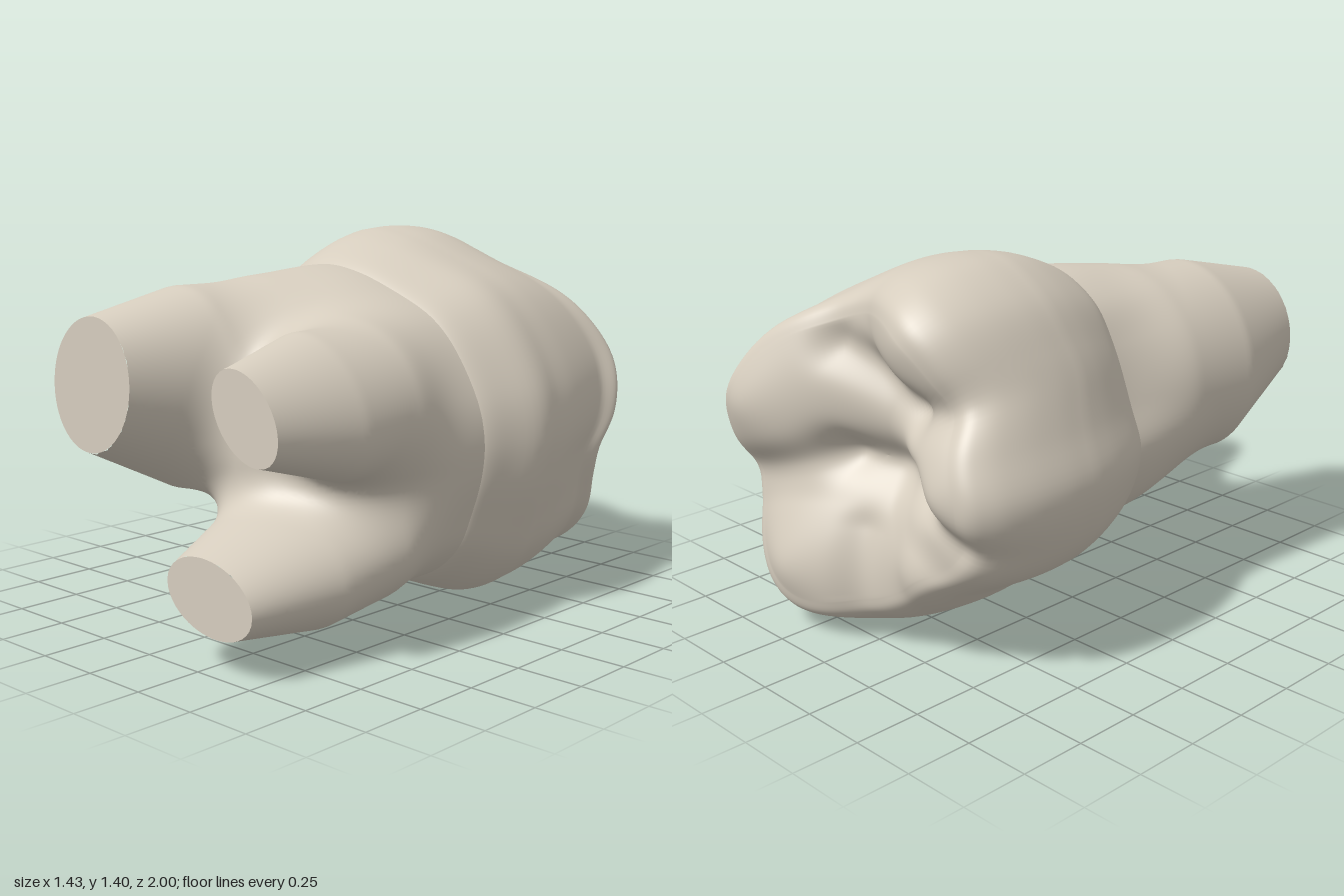
import * as THREE from 'three';

const { lerp, clamp, smoothstep } = THREE.MathUtils;
const CY = 0.7; // height of the tooth axis
const NECK = { x: 0.04, sx: 0.87, sy: 0.82 }; // neck outline relative to the crown outline
const material = new THREE.MeshStandardMaterial({ color: 0xd6cdbe });

// Widest outline of the crown, clockwise as seen from the root end
const outline = new THREE.CatmullRomCurve3([
  [-0.71, 0.7], [-0.65, 0.88], [-0.55, 1.13], [-0.45, 1.29], [-0.3, 1.385], [-0.17, 1.405], [0, 1.38],
  [0.2, 1.31], [0.4, 1.215], [0.5, 1.13], [0.6, 0.99], [0.68, 0.82], [0.705, 0.67], [0.69, 0.52],
  [0.64, 0.35], [0.58, 0.2], [0.47, 0.08], [0.35, 0.015], [0.25, 0], [0.1, 0.02], [-0.1, 0.08],
  [-0.25, 0.16], [-0.4, 0.27], [-0.58, 0.38], [-0.67, 0.52],
].map(([x, y]) => new THREE.Vector3(x, y - CY, 0)), true).getSpacedPoints(160).slice(0, 160);

function smoothMin(a, b, k) {
  const h = Math.max(k - Math.abs(a - b), 0) / k;
  return Math.min(a, b) - h * h * k / 4;
}

// ---- Crown: side rings up to the rim, then chewing surface rings to the centre
const cusps = [[0.45, 0.86, 1.0], [0.28, 0.27, 0.965], [-0.3, 1.2, 0.875], [-0.46, 0.71, 0.89], [-0.28, 0.37, 0.83]];
// each groove: from x, y to x, y, depth, width
const grooves = [
  [0.6, 0.55, 0.12, 0.7, 0.035, 0.07], [0.1, 0.7, -0.28, 0.67, 0.07, 0.09], [-0.28, 0.67, -0.57, 0.5, 0.05, 0.07],
  [0.1, 1.1, -0.25, 0.94, 0.06, 0.08], [-0.25, 0.94, -0.6, 0.99, 0.025, 0.07],
  [0.0, 0.45, 0.0, 0.2, 0.03, 0.07], [0.02, 0.72, 0.02, 0.72, 0.05, 0.24],
];

function chewingHeight(x, y) {
  let h = 0;
  for (const [cx, cy, top] of cusps) {
    const d = Math.hypot(x - cx, y - cy, 0.09) - 0.09;
    h = -smoothMin(-h, -(top - 0.5 * d), 0.05);
  }
  for (const [x0, y0, x1, y1, depth, width] of grooves) {
    const ex = x1 - x0, ey = y1 - y0;
    const t = clamp(((x - x0) * ex + (y - y0) * ey) / (ex * ex + ey * ey || 1), 0, 1);
    h -= depth * Math.exp(-((x - x0 - t * ex) ** 2 + (y - y0 - t * ey) ** 2) / (width * width));
  }
  return h;
}

function crownGeometry() {
  // x = scale of the outline, y = fraction of the crown height
  const profile = new THREE.SplineCurve([
    [0.8, -0.05], [NECK.sx, 0], [0.92, 0.09], [0.97, 0.26], [0.992, 0.44], [1, 0.58], [0.987, 0.73],
    [0.95, 0.86], [0.895, 0.945], [0.84, 0.986], [0.77, 1],
  ].map(([s, v]) => new THREE.Vector2(s, v))).getPoints(50);
  const rim = 0.77, inner = 38, n = outline.length;
  const pos = [], index = [];
  for (const { x: s, y: v } of profile) {
    const neck = clamp(1 - v / 0.4, 0, 1);
    // the +x side is fullest near the neck and leans inward towards the cusps
    const lean = 0.03 * Math.exp(-(((v - 0.28) / 0.12) ** 2))
      - 0.11 * smoothstep(v, 0.3, 0.85) * (1 - smoothstep(v, 0.85, 1));
    for (const p of outline) {
      const h = chewingHeight(p.x * rim, CY + p.y * rim);
      const side = s + lean * Math.max(p.x / 0.7, 0);
      const sy = side - (NECK.sx - NECK.sy) * neck;
      pos.push(p.x * side + NECK.x * neck, CY + p.y * sy, -v * h);
    }
  }
  for (let i = 1; i <= inner; i++) {
    const s = rim * (1 - i / inner);
    for (const p of outline) {
      const x = p.x * s, y = CY + p.y * s;
      pos.push(x, y, -chewingHeight(x, y));
    }
  }
  const rings = pos.length / 3 / n;
  for (let i = 0; i < rings - 1; i++) {
    for (let j = 0; j < n; j++) {
      const a = i * n + j, b = i * n + (j + 1) % n;
      index.push(a, b, a + n);
      if (i < rings - 2) index.push(b, b + n, a + n);
    }
  }
  const g = new THREE.BufferGeometry();
  g.setAttribute('position', new THREE.Float32BufferAttribute(pos, 3));
  g.setIndex(index);
  g.computeVertexNormals();
  return g;
}

// ---- Roots: tapering ellipses blended with a domed trunk
// each section: z, centre x, centre y, radius x, radius y
const roots = [
  { tilt: -0.3, sections: [[0, -0.2, 0.85, 0.35, 0.38], [0.63, -0.265, 0.86, 0.315, 0.375], [1, -0.28, 0.907, 0.207, 0.242]] },
  { tilt: -0.8, sections: [[0, 0.33, 0.82, 0.3, 0.3], [0.63, 0.44, 0.87, 0.275, 0.2], [1, 0.49, 0.885, 0.175, 0.12]] },
  { tilt: -0.17, sections: [[0, 0.2, 0.44, 0.42, 0.28], [0.63, 0.265, 0.305, 0.325, 0.215], [1, 0.31, 0.27, 0.207, 0.128]] },
];

// Neck radius for each degree, by crossing a ray with the neck outline
const neckPoints = outline.map((p) => [p.x * NECK.sx, p.y * NECK.sy]);
const neckRadius = Array.from({ length: 361 }, (_, i) => {
  const a = (i - 180) * Math.PI / 180, dx = Math.cos(a), dy = Math.sin(a);
  let radius = 0;
  neckPoints.forEach(([x, y], j) => {
    const [qx, qy] = neckPoints[(j + 1) % neckPoints.length];
    const ex = qx - x, ey = qy - y, det = dx * ey - dy * ex;
    const t = (x * ey - y * ex) / det, s = (x * dy - y * dx) / det;
    if (t > 0 && s >= -1e-6 && s <= 1 + 1e-6) radius = t;
  });
  return radius;
});

function rootField(x, y, z) {
  const dx = x - NECK.x, dy = y - CY;
  const angle = (Math.atan2(dy, dx) / Math.PI + 1) * 180, step = Math.min(Math.floor(angle), 359);
  const radius = lerp(neckRadius[step], neckRadius[step + 1], angle - step);
  const trunk = (Math.hypot(Math.hypot(dx, dy) / radius, Math.max(z, 0) / 0.68) - 1) * 0.55;
  let f = trunk;
  for (const { tilt, sections } of roots) {
    const i = z < 0.63 ? 0 : 1;
    const A = sections[i], B = sections[i + 1];
    const t = clamp((z - A[0]) / (B[0] - A[0]), 0, 1.1);
    const [, cx, cy, rx, ry] = A.map((v, k) => lerp(v, B[k], t));
    const c = Math.cos(tilt), s = Math.sin(tilt), px = x - cx, py = y - cy;
    const e = Math.hypot((px * c + py * s) / rx, (py * c - px * s) / ry);
    f = smoothMin(f, (e - 1) * Math.min(rx, ry), 0.12);
  }
  return lerp(trunk, f, smoothstep(z, 0, 0.35));
}

// Mesh the field: one vertex in each crossed cell, one quad around each crossed edge
function rootGeometry() {
  const h = 0.02, dims = [76, 70, 52];
  const origin = [-0.76, -0.03, 1 + h / 2 - dims[2] * h];
  const [nx, ny, nz] = dims;
  const id = (i, j, k) => (k * (ny + 1) + j) * (nx + 1) + i;
  const at = (i, j, k) => [origin[0] + i * h, origin[1] + j * h, origin[2] + k * h];
  const values = new Float32Array((nx + 1) * (ny + 1) * (nz + 1));
  const cells = new Int32Array(values.length).fill(-1);
  const pos = [], normal = [], index = [];
  const each = (mx, my, mz, fn) => {
    for (let k = 0; k < mz; k++) for (let j = 0; j < my; j++) for (let i = 0; i < mx; i++) fn(i, j, k);
  };
  each(nx + 1, ny + 1, nz + 1, (i, j, k) => { values[id(i, j, k)] = rootField(...at(i, j, k)); });
  each(nx, ny, nz, (i, j, k) => {
    const sum = [0, 0, 0];
    let count = 0;
    for (let c = 0; c < 8; c++) {
      const p = [c & 1, (c >> 1) & 1, c >> 2];
      const v0 = values[id(i + p[0], j + p[1], k + p[2])];
      for (let a = 0; a < 3; a++) {
        if (p[a]) continue;
        const q = p.slice();
        q[a] = 1;
        const v1 = values[id(i + q[0], j + q[1], k + q[2])];
        if ((v0 < 0) === (v1 < 0)) continue;
        p.forEach((v, b) => { sum[b] += b === a ? v0 / (v0 - v1) : v; });
        count++;
      }
    }
    if (!count) return;
    cells[id(i, j, k)] = pos.length / 3;
    const [x, y, z0] = at(i + sum[0] / count, j + sum[1] / count, k + sum[2] / count);
    const z = k === nz - 1 ? 1 : z0, e = 0.02;
    pos.push(x, y, z);
    normal.push(...new THREE.Vector3(
      rootField(x + e, y, z) - rootField(x - e, y, z),
      rootField(x, y + e, z) - rootField(x, y - e, z),
      rootField(x, y, z + e) - rootField(x, y, z - e)).normalize().toArray());
  });
  each(nx, ny, nz, (...p) => {
    for (let a = 0; a < 3; a++) {
      const u = (a + 1) % 3, v = (a + 2) % 3;
      if (!p[u] || !p[v] || (a === 2 && p[2] === nz - 1)) continue;
      const next = p.slice();
      next[a]++;
      const inside = values[id(...p)] < 0;
      if (inside === (values[id(...next)] < 0)) continue;
      const quad = [[1, 1], [0, 1], [0, 0], [1, 0]].map(([du, dv]) => {
        const c = p.slice();
        c[u] -= du;
        c[v] -= dv;
        return cells[id(...c)];
      });
      if (!inside) quad.reverse();
      index.push(quad[0], quad[1], quad[2], quad[0], quad[2], quad[3]);
    }
  });
  const g = new THREE.BufferGeometry();
  g.setAttribute('position', new THREE.Float32BufferAttribute(pos, 3));
  g.setAttribute('normal', new THREE.Float32BufferAttribute(normal, 3));
  g.setIndex(index);
  return g;
}

// Flat cut closing one root at z = 1
function cutGeometry({ sections }) {
  const [, cx, cy] = sections[2];
  const points = Array.from({ length: 56 }, (_, i) => {
    const a = i / 56 * Math.PI * 2;
    let lo = 0, hi = 0.3;
    for (let s = 0; s < 20; s++) {
      const r = (lo + hi) / 2;
      if (rootField(cx + r * Math.cos(a), cy + r * Math.sin(a), 1) < 0) lo = r; else hi = r;
    }
    return new THREE.Vector2(cx + lo * Math.cos(a), cy + lo * Math.sin(a));
  });
  return new THREE.ShapeGeometry(new THREE.Shape(points)).translate(0, 0, 1);
}

export function createModel() {
  const group = new THREE.Group();
  group.name = 'molar';
  const add = (name, geometry) => {
    const mesh = new THREE.Mesh(geometry, material);
    mesh.name = name;
    group.add(mesh);
  };
  add('crown', crownGeometry());
  add('roots', rootGeometry());
  roots.forEach((root, i) => add(`rootCut${i + 1}`, cutGeometry(root)));
  return group;
}
